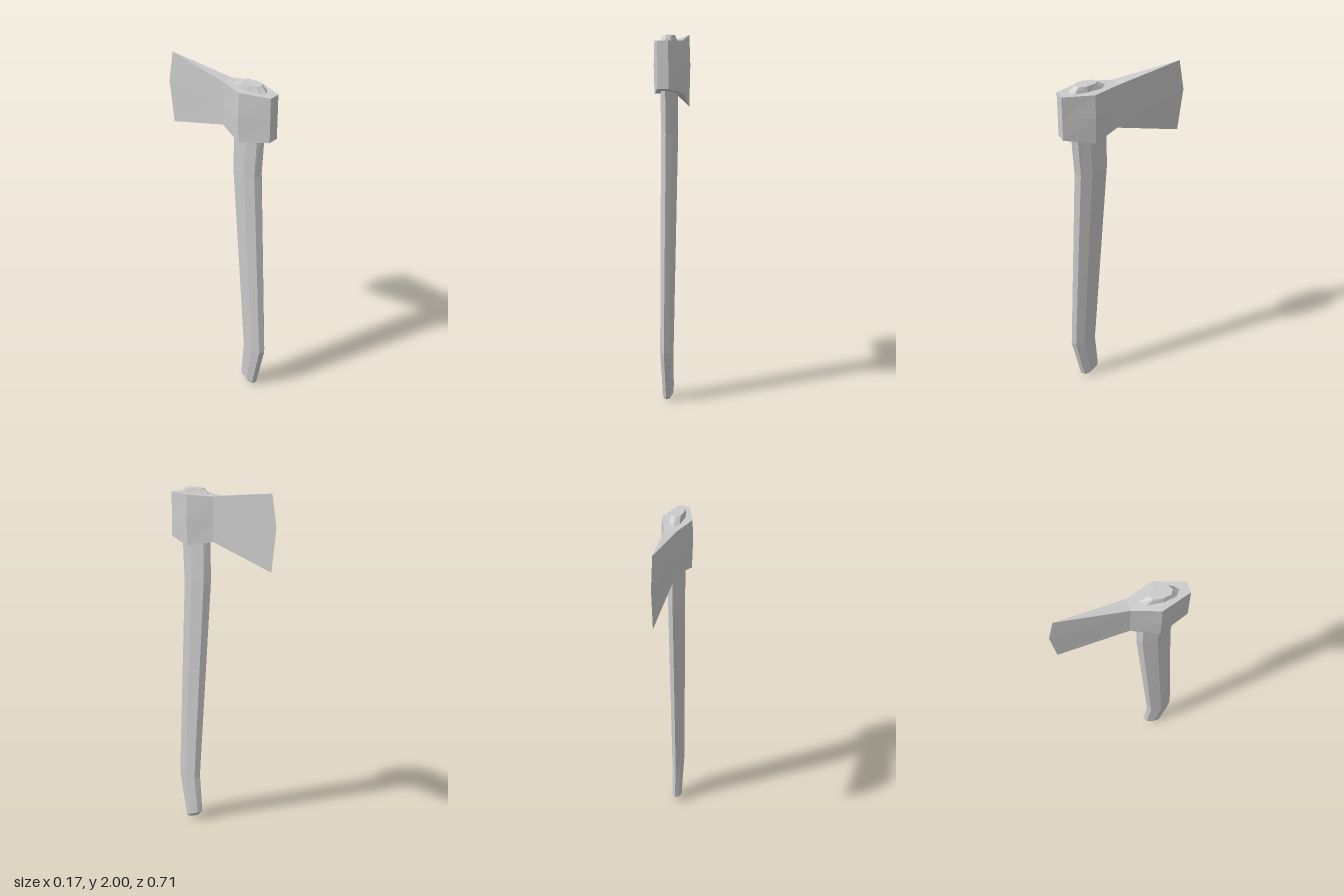
import * as THREE from 'three';

// Skin through closed rings (ordered bottom to top, counter-clockwise from above), capped at both ends
function loft(name, rings) {
  const pos = [];
  const tri = (a, b, c) => pos.push(...a, ...b, ...c);
  const n = rings[0].length;
  for (let r = 0; r < rings.length - 1; r++) {
    const lo = rings[r], hi = rings[r + 1];
    for (let i = 0; i < n; i++) {
      const j = (i + 1) % n;
      tri(lo[i], lo[j], hi[j]);
      tri(lo[i], hi[j], hi[i]);
    }
  }
  const top = rings[rings.length - 1], bottom = rings[0];
  for (let i = 0; i < n - 2 - i; i++) {
    const k = n - 2 - i;
    if (i + 1 < k) {
      tri(top[i], top[i + 1], top[k]);
      tri(bottom[i], bottom[k], bottom[i + 1]);
    }
    tri(top[i], top[k], top[k + 1]);
    tri(bottom[i], bottom[k + 1], bottom[k]);
  }
  const geometry = new THREE.BufferGeometry();
  geometry.setAttribute('position', new THREE.Float32BufferAttribute(pos, 3));
  geometry.computeVertexNormals();
  const mesh = new THREE.Mesh(geometry, new THREE.MeshStandardMaterial({ color: 0xcccccc, flatShading: true }));
  mesh.name = name;
  return mesh;
}

// Eight-sided handle section: half width, front and back z, front and back y
const section = [[0, 1], [0.73, 0.88], [1, 0.55], [0.73, 0.13], [0, 0], [-0.73, 0.13], [-1, 0.55], [-0.73, 0.88]];
const handleRing = ([w, zFront, zBack, yFront, yBack]) =>
  section.map(([x, t]) => [x * w, yFront + (yBack - yFront) * t, zFront + (zBack - zFront) * t]);

// Head section at one level: half widths along the head, ending in the cutting edge
function headRing(points) {
  const mirrored = points.slice(0, -1).reverse().map(([x, y, z]) => [-x, y, z]);
  return [...points, ...mirrored];
}

export function createModel() {
  const group = new THREE.Group();
  group.name = 'axe';

  // Curved handle with bevelled ends
  group.add(loft('handle', [
    [0.02, 0.205, 0.274, 0.025, 0],
    [0.029, 0.175, 0.288, 0.055, 0.01],
    [0.034, 0.19, 0.342, 0.27, 0.28],
    [0.043, 0.098, 0.286, 1.47, 1.47],
    [0.041, 0.098, 0.313, 1.955, 1.955],
    [0.033, 0.15, 0.272, 1.99, 1.99],
  ].map(handleRing)));

  // Head: poll, widened eye, neck and cutting edge, at bottom, middle and top
  group.add(loft('axeHead', [
    [[0.03, 1.71, 0.355], [0.083, 1.68, 0.195], [0.033, 1.71, 0.05], [0, 1.585, -0.323]],
    [[0.03, 1.83, 0.355], [0.087, 1.83, 0.195], [0.033, 1.83, 0.05], [0, 1.825, -0.352]],
    [[0.03, 1.96, 0.355], [0.083, 1.96, 0.195], [0.033, 1.957, 0.05], [0, 2, -0.323]],
  ].map(headRing)));

  return group;
}
